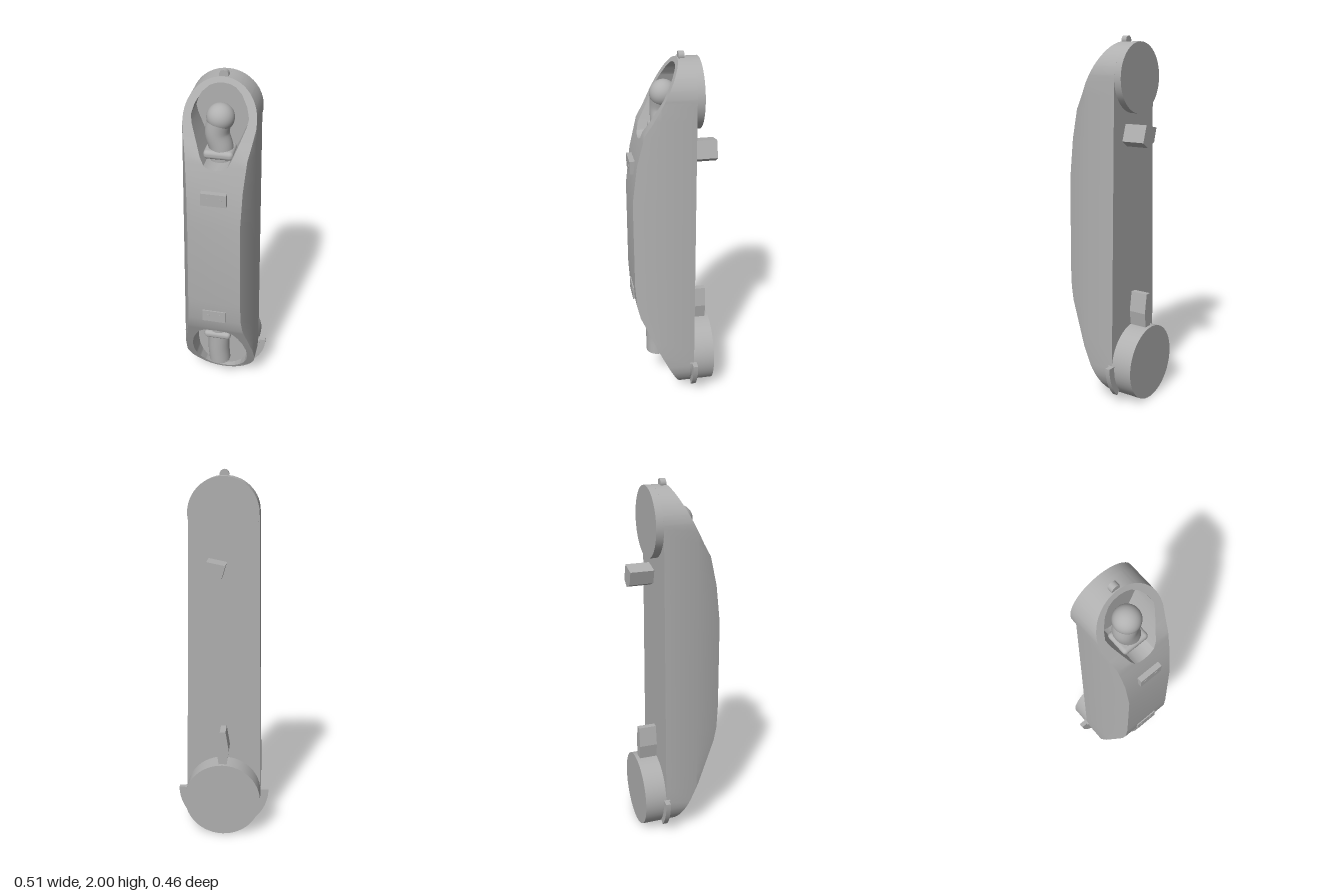
import * as THREE from 'three';
import { toCreasedNormals } from 'three/addons/utils/BufferGeometryUtils.js';
import { RoundedBoxGeometry } from 'three/addons/geometries/RoundedBoxGeometry.js';

const BACK = -0.1;
const LOW = { y: 0.21, r: 0.21 }, HIGH = { y: 1.785, r: 0.185 };

// [y, value] tables: front depth of the shell and half-widths of the two pockets
const DEPTH = [[0, -0.045], [0.065, -0.02], [0.3, 0.093], [0.54, 0.2], [0.617, 0.218], [0.75, 0.226],
  [1.25, 0.226], [1.46, 0.2], [1.62, 0.16], [1.69, 0.118], [1.97, -0.03]];
const POCKETS = [
  { floor: -0.07, edge: [[0.015, 0], [0.02, 0.04], [0.03, 0.07], [0.06, 0.11], [0.1, 0.138], [0.15, 0.156], [0.21, 0.165],
    [0.3, 0.163], [0.38, 0.146], [0.44, 0.123], [0.48, 0.1], [0.5, 0.075], [0.508, 0.05], [0.512, 0]] },
  { floor: -0.06, edge: [[1.56, 0], [1.565, 0.035], [1.58, 0.06], [1.62, 0.08], [1.7, 0.113], [1.76, 0.136], [1.8, 0.145],
    [1.85, 0.13], [1.9, 0.1], [1.93, 0.065], [1.941, 0.035], [1.945, 0]] },
];

function lookup(table, y) {
  for (let i = 1; i < table.length; i++) {
    const [a, va] = table[i - 1], [b, vb] = table[i];
    if (y <= b) return va + (vb - va) * Math.max(0, (y - a) / (b - a));
  }
  return table[table.length - 1][1];
}

// Half-width of the outline around the two joint circles
function halfWidth(y) {
  const c = y < LOW.y ? LOW : y > HIGH.y ? HIGH : null;
  if (c) return Math.sqrt(Math.max(0, c.r * c.r - (y - c.y) ** 2));
  return THREE.MathUtils.lerp(LOW.r, HIGH.r, (y - LOW.y) / (HIGH.y - LOW.y));
}

// One horizontal section of the shell, with the pocket cut in when there is one
function section(y, pocket) {
  const w = halfWidth(y), f = lookup(DEPTH, y), zc = Math.min(0.08, f);
  const fx = w - 0.38 * Math.max(0, f - 0.08);
  const h = pocket ? Math.min(lookup(pocket.edge, y), fx) : 0;
  const floor = pocket ? pocket.floor : f;
  const half = [[w, BACK], [w, zc], [fx, f], [h, f], [h, floor]];
  const all = [...half, ...half.map(([x, z]) => [-x, z]).reverse()];
  return all.map(([x, z]) => new THREE.Vector3(x, y, z));
}

function shellGeometry() {
  const ys = new Set();
  for (let i = 0; i <= 14; i++) {
    const s = Math.cos((i / 14) * Math.PI / 2);
    ys.add(LOW.y - LOW.r * s).add(HIGH.y + HIGH.r * s);
  }
  DEPTH.forEach(([y]) => ys.add(y));
  POCKETS.forEach(p => p.edge.forEach(([y]) => ys.add(y)));
  const rows = [];
  for (const y of [...ys].sort((a, b) => a - b)) {
    const p = POCKETS.find(q => y >= q.edge[0][0] && y <= q.edge[q.edge.length - 1][0]);
    const first = p && y === p.edge[0][0], last = p && y === p.edge[p.edge.length - 1][0];
    if (first) rows.push(section(y, null));
    rows.push(section(y, p));
    if (last) rows.push(section(y, null));
  }
  const pos = [], tri = new THREE.Triangle();
  const add = (a, b, c) => {
    tri.set(a, b, c);
    if (tri.getArea() > 1e-9) [a, b, c].forEach(v => pos.push(v.x, v.y, v.z));
  };
  for (let r = 1; r < rows.length; r++) {
    const lo = rows[r - 1], hi = rows[r], n = lo.length;
    for (let i = 0; i < n; i++) {
      const j = (i + 1) % n;
      add(lo[i], hi[i], hi[j]);
      add(lo[i], hi[j], lo[j]);
    }
  }
  const g = new THREE.BufferGeometry();
  g.setAttribute('position', new THREE.Float32BufferAttribute(pos, 3));
  return toCreasedNormals(g, 0.45);
}

// Prism of an outline in x and y, between two depths
function prism(points, z0, z1) {
  const shape = points instanceof THREE.Shape ? points : new THREE.Shape(points.map(p => new THREE.Vector2(...p)));
  return new THREE.ExtrudeGeometry(shape, { depth: z1 - z0, bevelEnabled: false, curveSegments: 16 }).translate(0, 0, z0);
}

// Disc with its axis along z
function disc(r, y, z0, z1, x = 0, sides = 48) {
  return new THREE.CylinderGeometry(r, r, z1 - z0, sides).rotateX(Math.PI / 2).translate(x, y, (z0 + z1) / 2);
}

export function createModel() {
  const group = new THREE.Group();
  const grey = new THREE.MeshStandardMaterial({ color: 0xb0b0b0, side: THREE.DoubleSide });
  grey.name = 'grey';
  const add = (name, geometry) => {
    const mesh = new THREE.Mesh(geometry, grey);
    mesh.name = name;
    group.add(mesh);
    return mesh;
  };

  add('shell', shellGeometry());

  // Joint discs on the back
  add('upperDisc', disc(HIGH.r, HIGH.y, -0.14, BACK));
  add('lowerDisc', disc(LOW.r, LOW.y, -0.22, BACK));
  add('topNub', disc(0.024, 1.976, -0.065, -0.035, 0, 24));

  // Blocks standing on the back
  add('rearBlock', prism([[-0.017, 1.53], [0.005, 1.455], [0.065, 1.43], [0.11, 1.46], [0.08, 1.55]], -0.23, BACK));
  add('rearPointer', prism([[-0.02, 0.4], [0.02, 0.4], [0.034, 0.5], [0.016, 0.61], [-0.016, 0.61], [-0.034, 0.5]], -0.2, BACK));

  // Curved guards beside the lower joint
  for (const [name, side] of [['leftGuard', 1], ['rightGuard', -1]]) {
    const a0 = side > 0 ? -Math.PI / 4 : Math.PI, a1 = side > 0 ? 0 : Math.PI * 1.25;
    const arc = new THREE.Shape();
    arc.absarc(0, 0.23, 0.255, a0, a1, false);
    arc.absarc(0, 0.23, 0.2, a1, a0, true);
    add(name, prism(arc, -0.115, -0.088));
    const lip = new THREE.Shape();
    lip.absarc(0, 0.23, 0.22, a0, a1, false);
    lip.absarc(0, 0.23, 0.2, a1, a0, true);
    add(name + 'Lip', prism(lip, -0.088, -0.078));
  }

  // Screw plates on the front
  for (const [name, y0, y1, ys] of [['upperPlate', 1.385, 1.455, 1.42], ['lowerPlate', 0.617, 0.69, 0.655]]) {
    add(name, new THREE.BoxGeometry(0.133, y1 - y0, 0.03).translate(0, (y0 + y1) / 2, 0.214));
    for (const x of [-0.034, 0.034]) add(name + 'Screw', disc(0.012, ys, 0.226, 0.2305, x, 20));
  }

  // Ball-ended stem in the upper pocket
  const stem = new THREE.CatmullRomCurve3([[0.008, 1.57], [0.004, 1.63], [-0.016, 1.71], [0, 1.79]]
    .map(([x, y]) => new THREE.Vector3(x, y, 0.045)));
  add('upperStem', new THREE.TubeGeometry(stem, 20, 0.062, 28));
  add('upperBall', new THREE.SphereGeometry(0.071, 36, 24).translate(0, 1.79, 0.04));
  add('upperCollar', new RoundedBoxGeometry(0.154, 0.046, 0.135, 4, 0.02).translate(0, 1.608, 0.048));

  // Plug in the lower pocket
  const plug = new THREE.CatmullRomCurve3([[0.004, 0.212], [-0.002, 0.3], [0, 0.4], [0, 0.517]]
    .map(([x, y]) => new THREE.Vector3(x, y, 0.085)));
  add('lowerPlug', new THREE.TubeGeometry(plug, 16, 0.063, 28));
  for (const [name, x, y] of [['plugBase', 0.004, 0.212], ['plugTop', 0, 0.517]]) {
    add(name, new THREE.CylinderGeometry(0.063, 0.063, 0.004, 28).translate(x, y, 0.085));
  }
  add('lowerCollar', new RoundedBoxGeometry(0.156, 0.046, 0.14, 4, 0.02).translate(0, 0.437, 0.085));

  return group;
}
